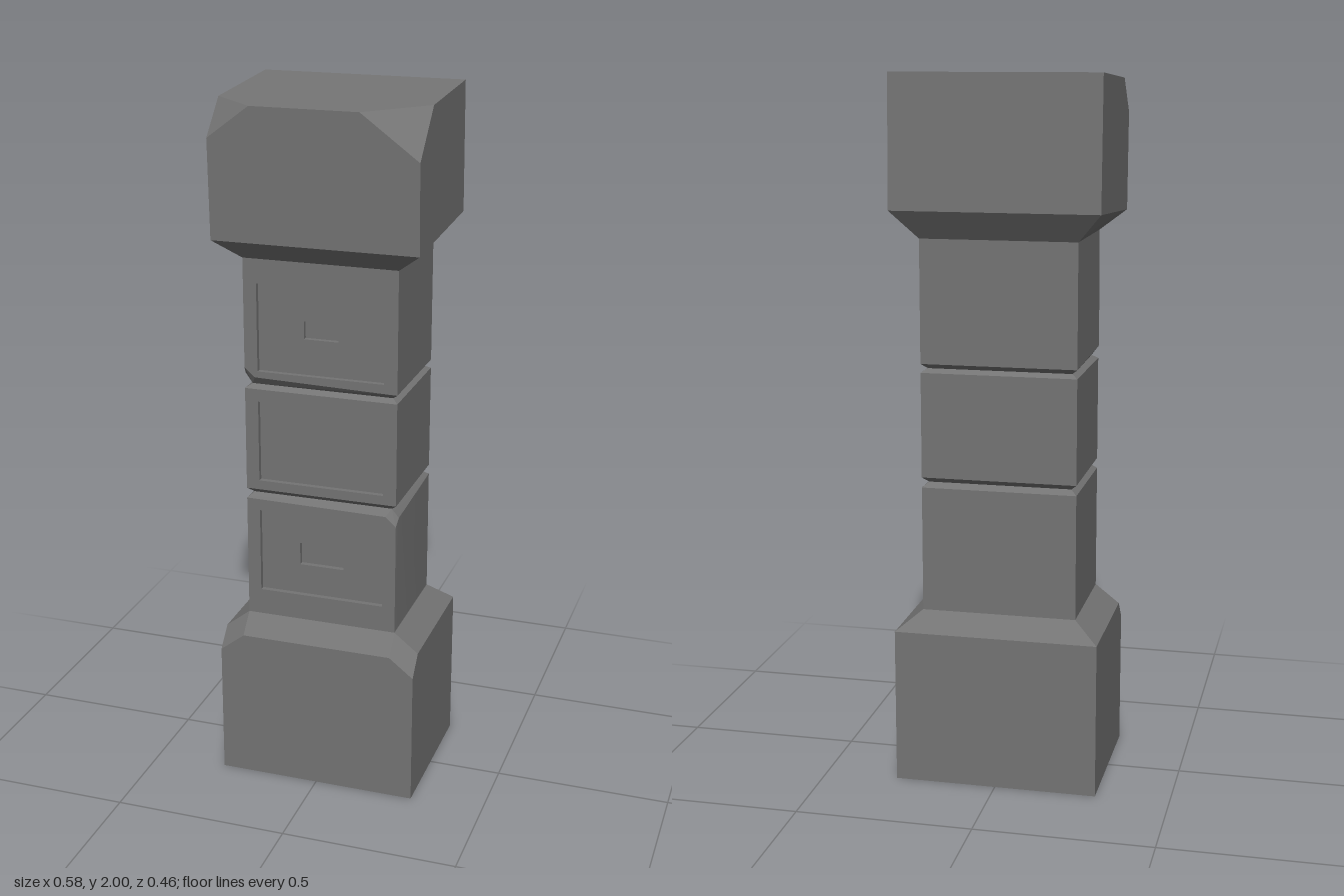
import * as THREE from 'three';
import { ConvexGeometry } from 'three/addons/geometries/ConvexGeometry.js';
import { toCreasedNormals } from 'three/addons/utils/BufferGeometryUtils.js';

const material = new THREE.MeshStandardMaterial({ color: 0x747474 });

const FRONT = 0.164, BACK = -0.172, HALF = 0.22; // shaft faces
const GROOVE = 0.017, DEPTH = 0.015;             // joint inset, recess depth
const CREASE = 0.25;                             // softens only slightly twisted faces

const hull = (points) => new ConvexGeometry(points.map((p) => new THREE.Vector3(...p)));

// Four corners of a horizontal (or tilted) section, back and front heights given
const section = (x, zBack, yBack, zFront, yFront) => [
  [-x, yBack, zBack], [x, yBack, zBack], [x, yFront, zFront], [-x, yFront, zFront],
];

const rectPoints = ([x0, x1, y0, y1]) =>
  [[x0, y0], [x1, y0], [x1, y1], [x0, y1]].map((p) => new THREE.Vector2(...p));

function addMesh(group, name, geometry) {
  const mesh = new THREE.Mesh(geometry, material);
  mesh.name = name;
  group.add(mesh);
}

// Flat front-facing sheet with an optional rectangular hole
function sheet(outline, hole, z) {
  const shape = new THREE.Shape(outline);
  if (hole) shape.holes.push(new THREE.Path(rectPoints(hole)));
  return new THREE.ShapeGeometry(shape).translate(0, 0, z);
}

// Four inward-facing walls of a recess, starting at z and running back
function recessWalls([x0, x1, y0, y1], z) {
  const g = new THREE.BoxGeometry(x1 - x0, y1 - y0, DEPTH);
  g.translate((x0 + x1) / 2, (y0 + y1) / 2, z - DEPTH / 2);
  const sides = Array.from(g.index.array.slice(0, 24));
  for (let i = 0; i < 24; i += 3) [sides[i], sides[i + 1]] = [sides[i + 1], sides[i]];
  g.setIndex(sides);
  g.clearGroups();
  g.computeVertexNormals();
  return g;
}

// Removes the triangles lying in the front plane
function openFront(geometry, z) {
  const pos = geometry.getAttribute('position'), kept = [];
  for (let i = 0; i < pos.count; i += 3) {
    if ([0, 1, 2].every((k) => Math.abs(pos.getZ(i + k) - z) < 1e-6)) continue;
    for (let k = 0; k < 3; k++) kept.push(pos.getX(i + k), pos.getY(i + k), pos.getZ(i + k));
  }
  const g = new THREE.BufferGeometry();
  g.setAttribute('position', new THREE.Float32BufferAttribute(kept, 3));
  return toCreasedNormals(g, CREASE);
}

// Shaft block: front outline, back heights, bevelled joints, recessed panel and notch
function shaftBlock({ name, outline, extra = [], back, ends, panel, notch }) {
  const group = new THREE.Group();
  group.name = name;
  const points = outline.map(([x, y]) => [x, y, FRONT]).concat(extra);
  back.forEach((y) => points.push([-HALF, y, BACK], [HALF, y, BACK]));
  ends.forEach((y) => points.push(
    ...section(HALF - GROOVE, BACK + GROOVE, y, FRONT - GROOVE, y)));
  addMesh(group, 'blockBody', openFront(hull(points), FRONT));
  addMesh(group, 'panelFrame', sheet(outline.map((p) => new THREE.Vector2(...p)), panel, FRONT));
  addMesh(group, 'panelWalls', recessWalls(panel, FRONT));
  addMesh(group, 'panelFloor', sheet(rectPoints(panel), notch, FRONT - DEPTH));
  if (notch) {
    addMesh(group, 'notchWalls', recessWalls(notch, FRONT - DEPTH));
    addMesh(group, 'notchFloor', sheet(rectPoints(notch), null, FRONT - 2 * DEPTH));
  }
  return group;
}

export function createModel() {
  const model = new THREE.Group();
  model.name = 'pillar';

  // Base with sloped shoulder and two clipped front corners
  const base = [
    ...section(0.29, -0.225, 0, 0.215, 0),
    ...section(HALF, BACK, 0.5, FRONT, 0.5),
    [-0.29, 0.445, -0.225], [0.29, 0.445, -0.225],
  ];
  for (const s of [-1, 1]) {
    base.push([s * 0.29, 0.39, 0.215], [s * 0.22, 0.445, 0.215], [s * 0.29, 0.445, 0.165]);
  }
  addMesh(model, 'base', toCreasedNormals(hull(base), CREASE));

  // Lower block, chipped at its upper left front corner
  model.add(shaftBlock({
    name: 'lowerBlock',
    outline: [[-HALF, 0.5], [HALF, 0.5], [HALF, 0.825], [0.19, 0.852], [-HALF, 0.857]],
    extra: [[0.223, 0.846, 0.145]],
    back: [0.5, 0.858], ends: [0.5, 0.872],
    panel: [-0.182, 0.182, 0.576, 0.823], notch: [-0.067, 0.063, 0.665, 0.731],
  }));

  // Middle block
  model.add(shaftBlock({
    name: 'middleBlock',
    outline: [[-HALF, 0.887], [HALF, 0.887], [HALF, 1.185], [-HALF, 1.185]],
    back: [0.887, 1.185], ends: [0.872, 1.196],
    panel: [-0.182, 0.182, 0.914, 1.149],
  }));

  // Upper block, chipped at its lower right front corner
  model.add(shaftBlock({
    name: 'upperBlock',
    outline: [[-HALF, 1.245], [-0.19, 1.219], [HALF, 1.21], [HALF, 1.56], [-HALF, 1.56]],
    extra: [[-0.225, 1.225, 0.145]],
    back: [1.21, 1.56], ends: [1.196, 1.56],
    panel: [-0.182, 0.182, 1.237, 1.487], notch: [-0.051, 0.048, 1.338, 1.388],
  }));

  // Capital, leaning forward, with two unequal clipped corners
  addMesh(model, 'capital', toCreasedNormals(hull([
    ...section(HALF, BACK, 1.556, FRONT, 1.556),
    ...section(0.29, -0.228, 1.635, 0.215, 1.61),
    [-0.29, 2, -0.215], [0.29, 2, -0.215],
    [-0.29, 1.885, 0.2245], [-0.17, 1.975, 0.228], [-0.29, 1.9803, 0.135],
    [0.29, 1.855, 0.2235], [0.13, 1.975, 0.228], [0.29, 1.982, 0.104],
  ]), CREASE));

  return model;
}
